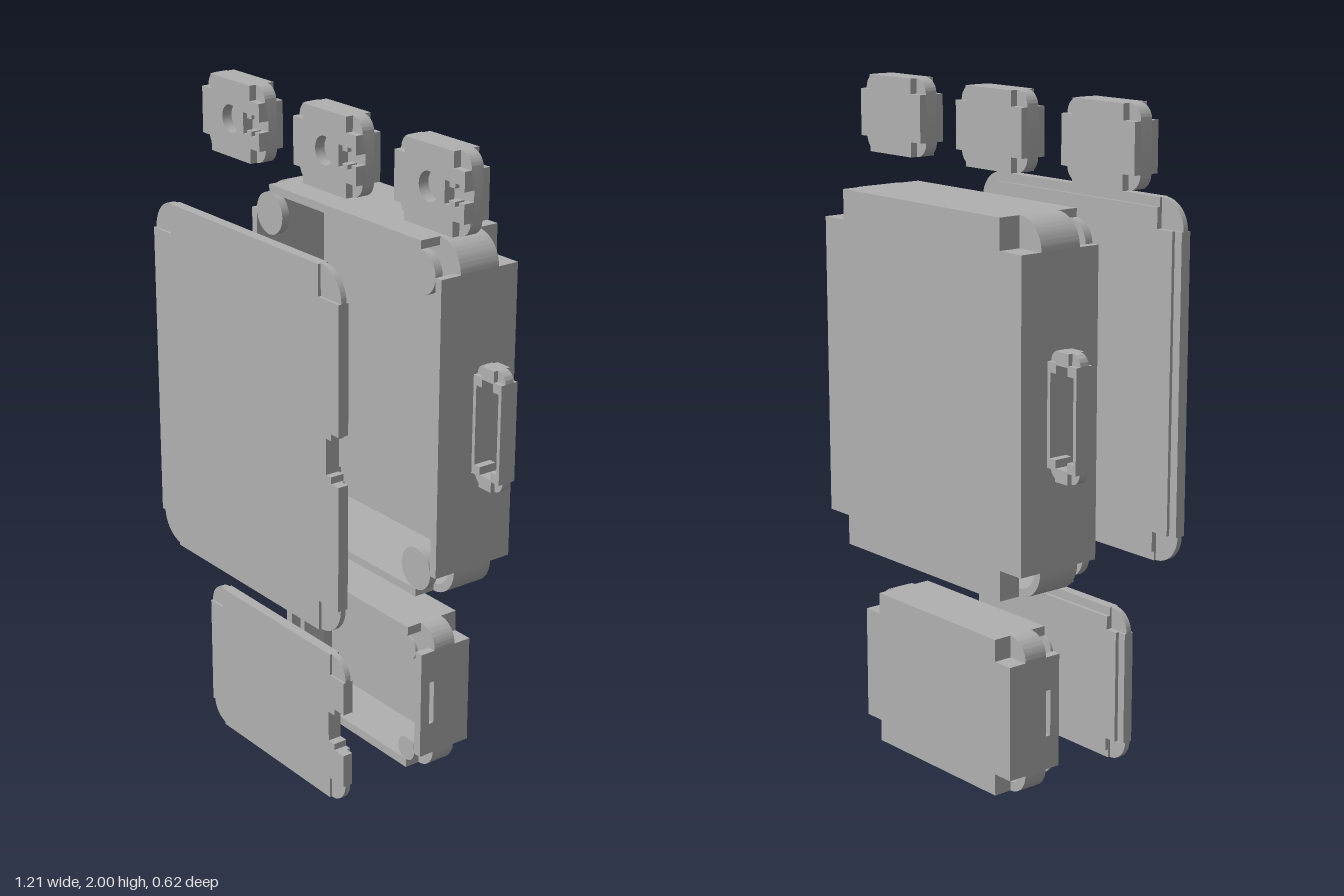
import * as THREE from 'three';
import { toCreasedNormals } from 'three/addons/utils/BufferGeometryUtils.js';

// Rectangle outline with half sizes w, h; corners of size c are rounded or notched square.
// slot: points [x, halfHeight] from the right edge inward, mirrored to cut a slot there.
function outline(w, h, c, round, slot = [], path = new THREE.Shape()) {
  const corner = (sx, sy, start) => {
    const cx = sx * (w - c), cy = sy * (h - c);
    if (round) return path.absarc(cx, cy, c, start, start + Math.PI / 2, false);
    const alongY = sx === sy; // travelling counter-clockwise
    path.lineTo(alongY ? sx * w : cx, alongY ? cy : sy * h);
    path.lineTo(cx, cy);
    path.lineTo(alongY ? cx : sx * w, alongY ? sy * h : cy);
  };
  path.moveTo(-w + c, -h);
  corner(1, -1, -Math.PI / 2);
  slot.forEach(([x, y]) => path.lineTo(x, -y));
  [...slot].reverse().forEach(([x, y]) => path.lineTo(x, y));
  corner(1, 1, 0);
  corner(-1, 1, Math.PI / 2);
  corner(-1, -1, Math.PI);
  path.closePath();
  return path;
}

const hole = (w, h, c, round) => outline(w, h, c, round, [], new THREE.Path());

export function createModel() {
  const model = new THREE.Group();
  const grey = new THREE.MeshStandardMaterial({ color: 0xb0b0b0 });
  grey.name = 'plain grey';

  function group(name, x, y) {
    const g = new THREE.Group();
    g.name = name;
    g.position.set(x, y, 0);
    model.add(g);
    return g;
  }

  // One slab of a part between two depths
  function layer(parent, name, shape, z0, z1, holes = []) {
    shape.holes.push(...holes);
    const geo = new THREE.ExtrudeGeometry(shape, { depth: z1 - z0, bevelEnabled: false, curveSegments: 12 });
    const mesh = new THREE.Mesh(toCreasedNormals(geo, 0.5), grey);
    mesh.name = name;
    mesh.position.z = z0;
    parent.add(mesh);
  }

  function box(parent, name, x0, x1, y0, y1, z0, z1) {
    const mesh = new THREE.Mesh(new THREE.BoxGeometry(x1 - x0, y1 - y0, z1 - z0), grey);
    mesh.name = name;
    mesh.position.set((x0 + x1) / 2, (y0 + y1) / 2, (z0 + z1) / 2);
    parent.add(mesh);
  }

  // Open-fronted case: z = [back, floor, rounded start, rounded end, front]
  function openCase(name, y, w, h, c, t, z, discDepth, slot) {
    const g = group(name, 0, y);
    layer(g, 'backPlate', outline(w, h, c, false), z[0], z[1]);
    layer(g, 'rearWalls', outline(w, h, c, false), z[1], z[2], [hole(w - t, h - t, c, false)]);
    layer(g, 'roundedWalls', outline(w, h, c, true), z[2], z[3], [hole(w - t, h - t, c - t, true)]);
    for (const s of [-1, 1]) {
      const y0 = s > 0 ? h - t : -h, x0 = s > 0 ? w - t : -w;
      box(g, 'frontEdgeWall', -w + c, w - c, y0, y0 + t, z[3], z[4]);
      if (slot) { // side wall split around a thin vertical opening
        const [sy, za, zb] = slot;
        box(g, 'frontSideWall', x0, x0 + t, -h + c, -sy, z[3], z[4]);
        box(g, 'frontSideWall', x0, x0 + t, sy, h - c, z[3], z[4]);
        box(g, 'frontSideWall', x0, x0 + t, -sy, sy, zb, z[4]);
        if (za > z[3]) box(g, 'frontSideWall', x0, x0 + t, -sy, sy, z[3], za);
      } else {
        box(g, 'frontSideWall', x0, x0 + t, -h + c, h - c, z[3], z[4]);
      }
      // Small round seats in the front corners
      for (const sx of [-1, 1]) {
        const r = c - t;
        const disc = new THREE.Mesh(new THREE.CylinderGeometry(r, r, discDepth, 32), grey);
        disc.name = 'cornerSeat';
        disc.rotation.x = Math.PI / 2;
        disc.position.set(sx * (w - c), s * (h - c), z[4] - discDepth / 2);
        g.add(disc);
      }
    }
  }

  openCase('mainCase', 1.16, 0.445, 0.538, 0.09, 0.025, [-0.315, -0.29, -0.245, -0.108, -0.04], 0.025);
  openCase('lowerCase', 0.238, 0.34, 0.238, 0.066, 0.028, [-0.265, -0.24, -0.207, -0.13, -0.08], 0.008,
    [0.07, -0.13, -0.113]);

  // Flat lids with a smaller locating rim behind and a latch slot on one side
  function lid(name, y, w, h, c, rim, z, slot) {
    const g = group(name, 0, y);
    const inner = slot.map(([x, sy]) => [Math.min(x, w - rim), sy]);
    layer(g, 'locatingRim', outline(w - rim, h - rim, c - rim, false, inner), z[0], z[1]);
    layer(g, 'rearFace', outline(w, h, c, false, slot), z[1], z[2]);
    layer(g, 'roundedEdge', outline(w, h, c, true, slot), z[2], z[3]);
    layer(g, 'frontFace', outline(w, h, c, false, slot), z[3], z[4]);
  }

  lid('mainLid', 1.16, 0.445, 0.538, 0.09, 0.028, [0.266, 0.276, 0.283, 0.3, 0.309],
    [[0.445, 0.073], [0.412, 0.073], [0.412, 0.053], [0.39, 0.053]]);
  lid('lowerLid', 0.238, 0.34, 0.238, 0.066, 0.026, [0.165, 0.177, 0.184, 0.202, 0.209],
    [[0.34, 0.068], [0.295, 0.068], [0.295, 0.048], [0.268, 0.048]]);

  // Three small blocks on top, each with a round recess and a stepped side slot
  const keySlot = [[0.146, 0.016], [0.125, 0.016], [0.125, 0.032], [0.108, 0.032], [0.108, 0.018],
    [0.085, 0.018], [0.085, 0.032], [0.066, 0.032]];
  const recess = () => new THREE.Path().absarc(0, 0, 0.042, 0, Math.PI * 2, true);
  for (const x of [-0.46, 0, 0.46]) {
    const g = group('smallBlock', x, 1.884);
    const w = 0.146, h = 0.116, c = 0.045;
    layer(g, 'blockBack', outline(w, h, c, false), -0.062, -0.04);
    layer(g, 'blockCore', outline(w, h, c, true), -0.04, -0.01);
    layer(g, 'blockRecess', outline(w, h, c, true, keySlot), -0.01, 0, [recess()]);
    layer(g, 'blockFront', outline(w, h, c, false, keySlot), 0, 0.023, [recess()]);
  }

  // Strap loops on both sides
  for (const s of [-1, 1]) {
    const g = group(s > 0 ? 'leftLoop' : 'rightLoop', s * 0.504, 1.16);
    const w = 0.059, h = 0.182, c = 0.033;
    const opening = () => [hole(0.047, 0.144, 0.024, false)];
    layer(g, 'loopBack', outline(w, h, c, false), -0.222, -0.208, opening());
    layer(g, 'loopCore', outline(w, h, c, true), -0.208, -0.178, opening());
    layer(g, 'loopFront', outline(w, h, c, false), -0.178, -0.164, opening());
  }

  return model;
}
